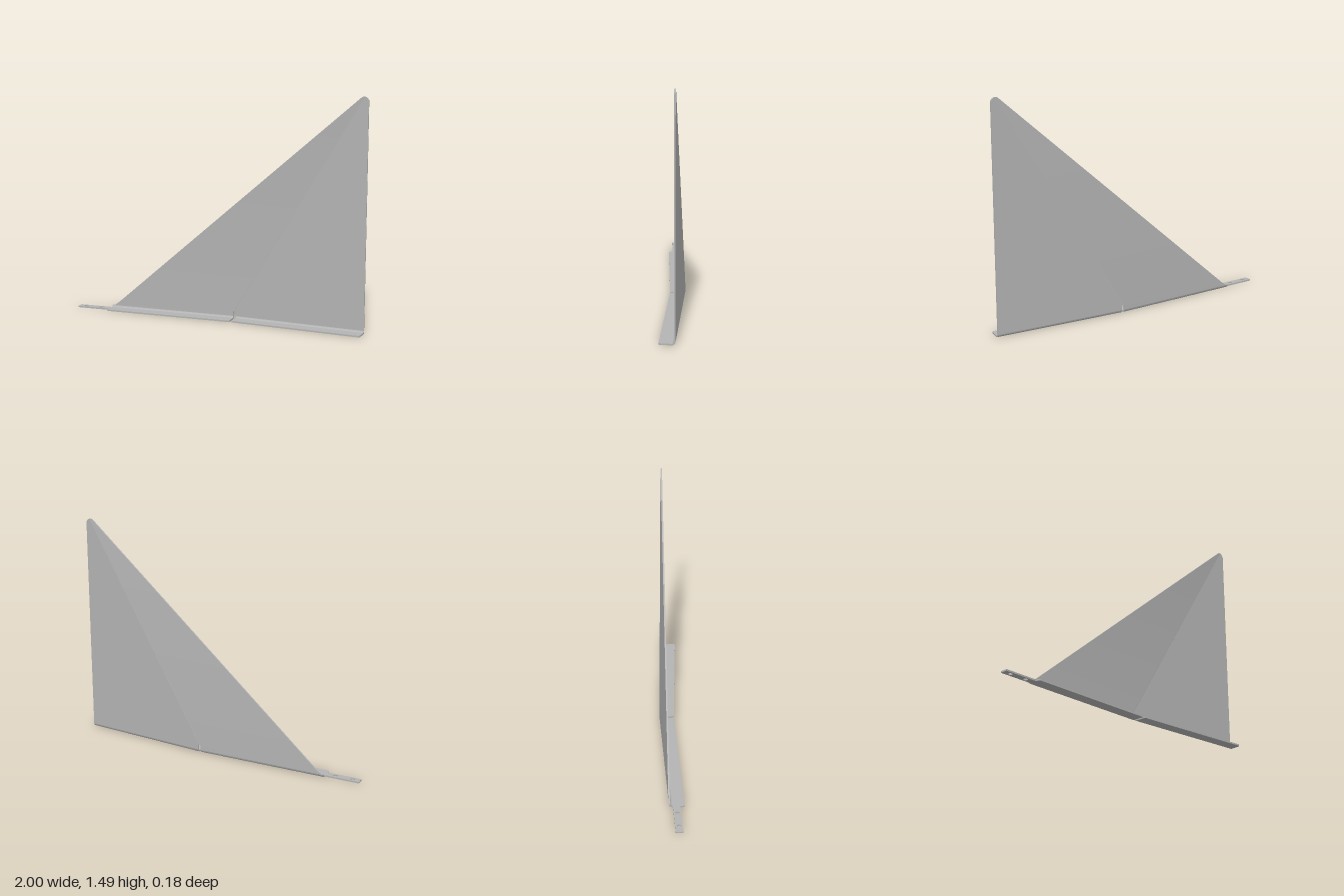
import * as THREE from 'three';
import { toCreasedNormals } from 'three/addons/utils/BufferGeometryUtils.js';

const T = 0.01;        // sheet thickness
const R = 0.022;       // outer bend radius
const BACK = -0.09;    // rear face of the straight half
const MID = 0.117;     // slot centre
const HALF = 0.0085;   // slot half width
const SLOT_TOP = 0.055;
const SLOPE = 0.088;   // forward sweep of the angled half
const TIP = { x: 0.97, y: 1.464, r: 0.028 };
const FOLD = Math.PI * 0.444; // angle on the tip circle where the crease ends

const foldX = TIP.x + TIP.r * Math.cos(FOLD), foldY = TIP.y + TIP.r * Math.sin(FOLD);
const lean = SLOPE * (foldX - MID) / (foldY - SLOT_TOP);

// Rear face depth of each half
const straight = (x, y) => BACK + lean * Math.max(0, y - SLOT_TOP);
const angled = (x) => BACK + SLOPE * (x - MID);

// Shift every vertex in z by a rule
function shear(geometry, rule) {
  const p = geometry.attributes.position;
  for (let i = 0; i < p.count; i++) p.setZ(i, p.getZ(i) + rule(p.getX(i), p.getY(i)));
  return toCreasedNormals(geometry, 0.5);
}

const extrude = (shape, depth) =>
  new THREE.ExtrudeGeometry(shape, { depth, bevelEnabled: false, curveSegments: 10 });

// Quarter-round bend between x0 and x1
function bend(x0, x1, rule) {
  const s = new THREE.Shape();
  s.moveTo(-R, 0);
  s.absarc(-R, R, R, -Math.PI / 2, 0, false);
  s.lineTo(-T, R);
  s.absarc(-R, R, R - T, 0, -Math.PI / 2, true);
  s.closePath();
  return shear(extrude(s, x1 - x0).rotateY(Math.PI / 2).translate(x0, 0, 0), rule);
}

// Flat plate drawn in x and -z
const flat = (shape, rule) => shear(extrude(shape, T).rotateX(-Math.PI / 2), rule);

export function createModel() {
  const group = new THREE.Group();
  const steel = new THREE.MeshStandardMaterial({ color: 0xb4b4b4 });
  steel.name = 'grey steel';
  const add = (name, geometry) => {
    const mesh = new THREE.Mesh(geometry, steel);
    mesh.name = name;
    group.add(mesh);
  };

  // Leaning panel below the sloping edge
  const a = new THREE.Shape();
  a.moveTo(-0.752, R);
  a.lineTo(MID - HALF, R);
  a.lineTo(MID - HALF, SLOT_TOP - HALF);
  a.absarc(MID, SLOT_TOP - HALF, HALF, Math.PI, Math.PI / 2, true);
  a.lineTo(foldX, foldY);
  a.absarc(TIP.x, TIP.y, TIP.r, FOLD, 2.27, false);
  a.lineTo(-0.71, SLOT_TOP);
  a.closePath();
  add('leaningPanel', shear(extrude(a, T), straight));

  // Upright panel beside the vertical edge
  const b = new THREE.Shape();
  b.moveTo(MID + HALF, R);
  b.lineTo(1, R);
  b.lineTo(1, TIP.y);
  b.absarc(TIP.x, TIP.y, 0.03, 0, 0.3, false);
  b.absarc(TIP.x, TIP.y, TIP.r, 0.3, FOLD, false);
  b.lineTo(MID, SLOT_TOP);
  b.absarc(MID, SLOT_TOP - HALF, HALF, Math.PI / 2, 0, true);
  b.closePath();
  add('uprightPanel', shear(extrude(b, T), angled));

  add('straightBend', bend(-0.77, MID - HALF, () => BACK));
  add('angledBend', bend(MID + HALF, 1, angled));

  // Straight flange with its mounting tab
  const f = new THREE.Shape();
  const rear = -R, front = -0.1;
  f.moveTo(-0.77, rear);
  f.lineTo(-0.775, rear - 0.003);
  f.lineTo(-1, rear - 0.003);
  f.lineTo(-1, -0.073);
  f.lineTo(-0.775, -0.073);
  f.lineTo(-0.775, front + 0.015);
  f.absarc(-0.76, front + 0.015, 0.015, Math.PI, Math.PI * 1.5, false);
  f.lineTo(MID - HALF, front);
  f.lineTo(MID - HALF, rear);
  f.closePath();
  for (const x of [-0.95, -0.835]) {
    const hole = new THREE.Path();
    hole.absarc(x, -0.049, 0.014, 0, Math.PI * 2, true);
    f.holes.push(hole);
  }
  add('straightFlangeAndTab', flat(f, () => BACK));

  // Angled flange with one rounded corner
  const g = new THREE.Shape();
  g.moveTo(MID + HALF, rear);
  g.lineTo(MID + HALF, front);
  g.lineTo(0.976, front);
  g.quadraticCurveTo(0.991, front, 0.992, front + 0.015);
  g.lineTo(1, rear);
  g.closePath();
  add('angledFlange', flat(g, angled));

  return group;
}
